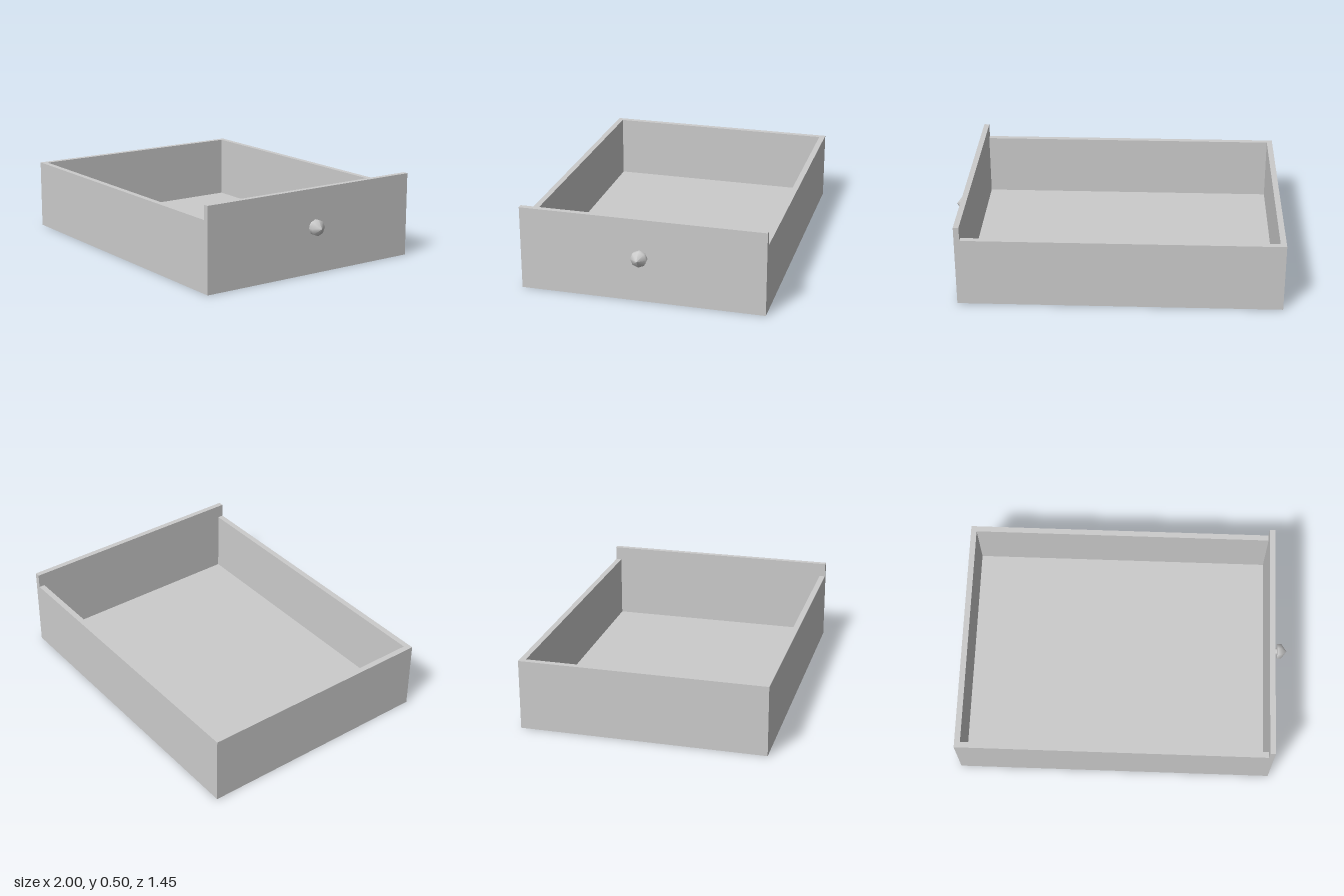
import * as THREE from 'three';

const material = new THREE.MeshStandardMaterial({ color: 0xcccccc });

// Box given by its minimum and maximum corners
function board(name, [x0, y0, z0], [x1, y1, z1]) {
  const mesh = new THREE.Mesh(new THREE.BoxGeometry(x1 - x0, y1 - y0, z1 - z0), material);
  mesh.position.set((x0 + x1) / 2, (y0 + y1) / 2, (z0 + z1) / 2);
  mesh.name = name;
  return mesh;
}

export function createModel() {
  const model = new THREE.Group();
  model.name = 'drawer';

  const back = -1, face = 0.91, panel = 0.877; // x of the rear, face and inside of the face panel
  const half = 0.725, wall = 0.035;
  const wallTop = 0.418, panelTop = 0.503, floorTop = 0.035;
  const inner = half - wall;

  // Tray: floor, rear wall, mirrored side walls and the taller face panel
  model.add(board('floor', [back + wall, 0, -inner], [panel, floorTop, inner]));
  model.add(board('rearWall', [back, 0, -inner], [back + wall, wallTop, inner]));
  model.add(board('leftWall', [back, 0, -half], [panel, wallTop, -inner]));
  model.add(board('rightWall', [back, 0, inner], [panel, wallTop, half]));
  model.add(board('facePanel', [panel, 0, -half], [face, panelTop, half]));

  // Eight-sided knob: stem and pointed head turned about the x axis
  const knob = new THREE.Group();
  knob.name = 'knob';
  const turned = (name, points) => {
    const profile = points.map(([r, h]) => new THREE.Vector2(r, h));
    const mesh = new THREE.Mesh(new THREE.LatheGeometry(profile, 8), material);
    mesh.name = name;
    knob.add(mesh);
  };
  turned('knobStem', [[0.021, 0], [0.021, 0.032]]);
  turned('knobBack', [[0, 0.03], [0.047, 0.03]]);
  turned('knobHead', [[0.047, 0.03], [0.048, 0.056], [0, 0.09]]);
  knob.rotation.z = -Math.PI / 2;
  knob.position.set(face, 0.284, 0);
  model.add(knob);

  return model;
}
